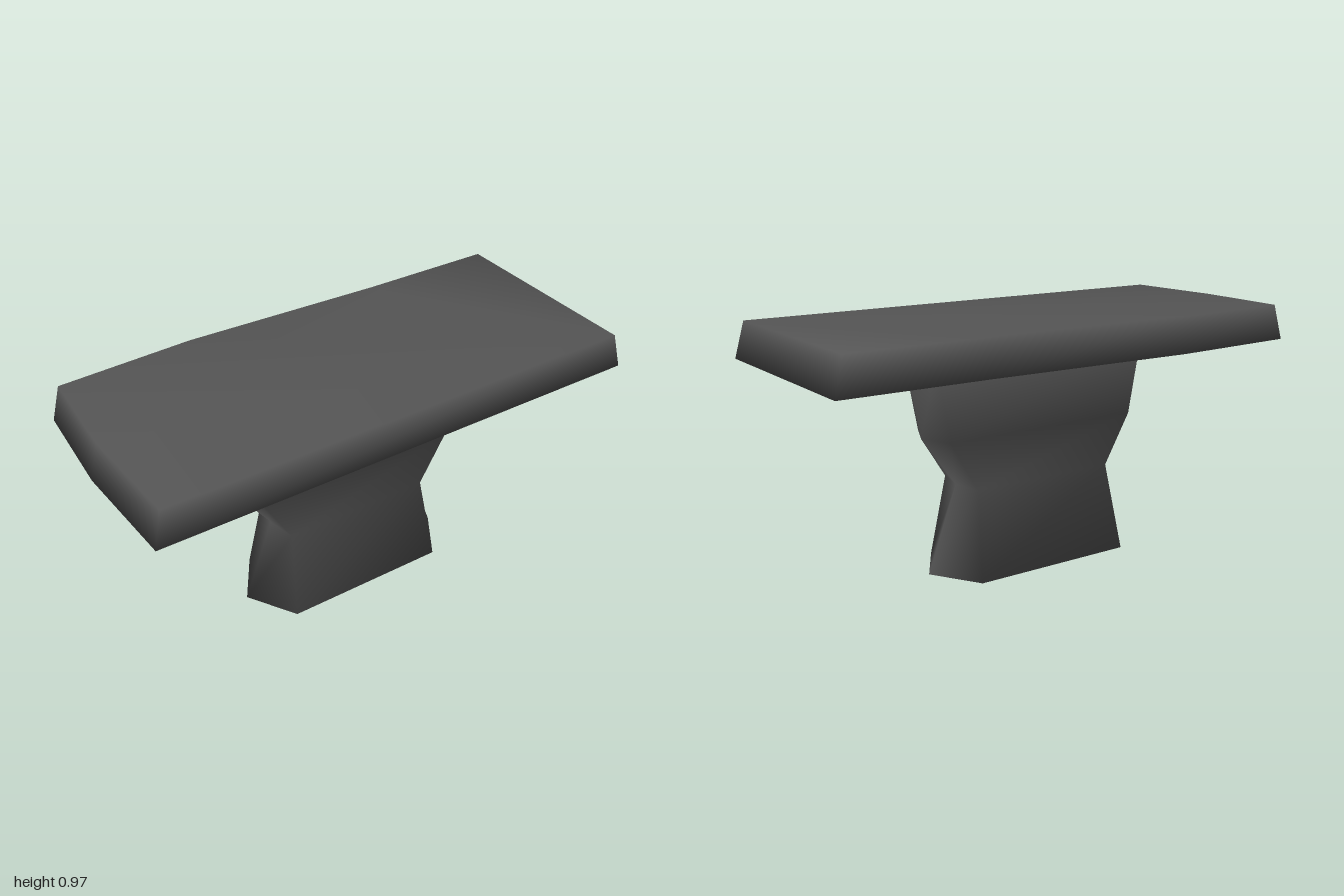
import * as THREE from 'three';

// Closed smooth solid lofted through rings of [x, z] corners, counterclockwise from above
function loft(rings) {
  const n = rings[0].points.length;
  const positions = rings.flatMap(({ y, points }) => points.flatMap(([x, z]) => [x, y, z]));
  const index = [];
  for (let r = 0; r < rings.length - 1; r++) {
    for (let i = 0; i < n; i++) {
      const a = r * n + i, b = r * n + (i + 1) % n;
      index.push(a, b, b + n, a, b + n, a + n);
    }
  }
  const top = (rings.length - 1) * n;
  for (let i = 1; i < n - 1; i++) {
    index.push(top, top + i, top + i + 1);
    index.push(0, i + 1, i);
  }
  const geometry = new THREE.BufferGeometry();
  geometry.setAttribute('position', new THREE.Float32BufferAttribute(positions, 3));
  geometry.setIndex(index);
  geometry.computeVertexNormals();
  return geometry;
}

// Six-sided plan with blunt points at both ends
const hexRing = (y, tip, corner, depth) => ({
  y,
  points: [
    [corner, depth], [tip, 0], [corner, -depth],
    [-corner, -depth], [-tip, 0], [-corner, depth],
  ],
});

export function createModel() {
  const group = new THREE.Group();
  group.name = 'pedestalTable';
  const stone = new THREE.MeshStandardMaterial({ color: 0x555555 });
  stone.name = 'darkStone';

  // Waisted pedestal: flared foot, narrow waist, widening neck
  const pedestal = new THREE.Mesh(loft([
    hexRing(0, 0.455, 0.335, 0.193),
    hexRing(0.34, 0.33, 0.305, 0.12),
    hexRing(0.54, 0.475, 0.42, 0.12),
    hexRing(0.83, 0.53, 0.475, 0.12),
  ]), stone);
  pedestal.name = 'pedestal';

  // Slightly irregular slab, tapering toward its top face
  const outline = [
    [1, 0.44], [1, -0.41], [0.42, -0.412], [-0.42, -0.44],
    [-0.975, -0.41], [-1, 0], [-0.975, 0.44],
  ];
  const inset = outline.map(([x, z]) => [x * 0.965, z * 0.97]);
  const slab = new THREE.Mesh(loft([
    { y: 0.83, points: outline },
    { y: 0.97, points: inset },
  ]), stone);
  slab.name = 'tableSlab';

  group.add(pedestal, slab);
  return group;
}
